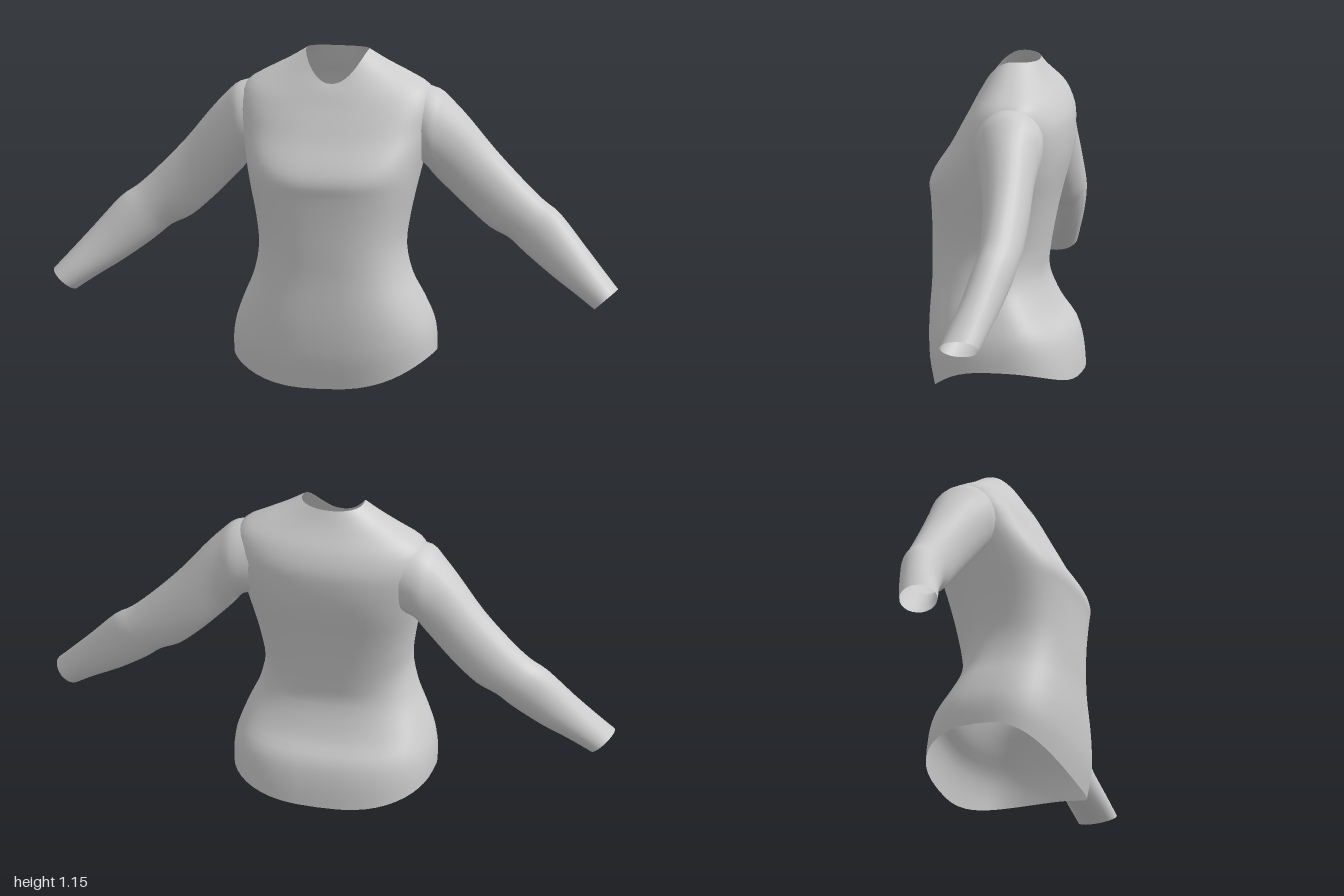
import * as THREE from 'three';

const material = new THREE.MeshStandardMaterial({ color: 0xcccccc, side: THREE.DoubleSide });

// Smoothly subdivide a list of section rows (Catmull-Rom on every column)
function refine(rows, steps) {
  const out = [];
  const at = (i) => rows[Math.max(0, Math.min(rows.length - 1, i))];
  for (let i = 0; i < rows.length - 1; i++) {
    for (let s = 0; s < steps; s++) {
      const t = s / steps;
      out.push(rows[i].map((b, k) => {
        const a = at(i - 1)[k], c = at(i + 1)[k], d = at(i + 2)[k];
        return b + 0.5 * t * (c - a + t * (2 * a - 5 * b + 4 * c - d + t * (3 * (b - c) + d - a)));
      }));
    }
  }
  out.push(rows[rows.length - 1]);
  return out;
}

// Open tube skinned over closed rings
function loft(name, sections, segments, pointAt) {
  const positions = [], index = [];
  sections.forEach((section, j) => {
    for (let i = 0; i < segments; i++) {
      positions.push(...pointAt(section, (i / segments) * Math.PI * 2));
      if (j === sections.length - 1) continue;
      const next = (i + 1) % segments;
      const a = j * segments + i, b = j * segments + next;
      const c = a + segments, d = b + segments;
      index.push(a, c, b, b, c, d);
    }
  });
  const geometry = new THREE.BufferGeometry();
  geometry.setAttribute('position', new THREE.Float32BufferAttribute(positions, 3));
  geometry.setIndex(index);
  geometry.computeVertexNormals();
  const mesh = new THREE.Mesh(geometry, material);
  mesh.name = name;
  return mesh;
}

// Torso rings, hem to neckline:
// side y, half width, side z, front y, front z, back y, back z, roundness
const torsoRings = [
  [0.10, 0.350, 0.00, 0.00, 0.240, 0.04, -0.260, 0.75],
  [0.16, 0.350, 0.00, 0.10, 0.258, 0.12, -0.252, 0.75],
  [0.22, 0.340, 0.00, 0.20, 0.262, 0.20, -0.230, 0.75],
  [0.30, 0.310, 0.01, 0.28, 0.260, 0.27, -0.178, 0.75],
  [0.38, 0.275, 0.03, 0.38, 0.255, 0.38, -0.137, 0.78],
  [0.48, 0.255, 0.04, 0.48, 0.255, 0.46, -0.140, 0.78],
  [0.58, 0.265, 0.03, 0.58, 0.255, 0.58, -0.160, 0.75],
  [0.68, 0.285, 0.02, 0.67, 0.258, 0.68, -0.182, 0.72],
  [0.75, 0.300, 0.00, 0.72, 0.262, 0.76, -0.203, 0.72],
  [0.82, 0.315, -0.02, 0.77, 0.243, 0.83, -0.218, 0.75],
  [0.90, 0.332, -0.04, 0.85, 0.190, 0.90, -0.224, 0.78],
  [0.97, 0.343, -0.05, 0.92, 0.152, 0.96, -0.220, 0.82],
  [1.03, 0.322, -0.06, 0.97, 0.125, 1.02, -0.195, 0.85],
  [1.075, 0.250, -0.06, 1.005, 0.108, 1.07, -0.160, 0.88],
  [1.115, 0.175, -0.05, 1.03, 0.095, 1.11, -0.135, 0.90],
  [1.155, 0.110, -0.04, 1.05, 0.082, 1.15, -0.115, 0.92],
];

function torsoPoint([ySide, width, zSide, yFront, zFront, yBack, zBack, round], angle) {
  const c = Math.cos(angle), s = Math.sin(angle);
  const y = s > 0 ? yFront : yBack, z = s > 0 ? zFront : zBack;
  return [
    Math.sign(c) * width * Math.abs(c) ** round,
    ySide + (y - ySide) * s * s,
    zSide + (z - zSide) * Math.abs(s) ** round,
  ];
}

// Sleeve rings, shoulder to cuff: top x, top y, bottom x, bottom y, centre z, half depth
const sleeveRings = [
  [0.27, 1.040, 0.27, 0.770, -0.065, 0.110],
  [0.35, 1.022, 0.31, 0.755, -0.060, 0.122],
  [0.40, 0.980, 0.34, 0.718, -0.065, 0.108],
  [0.46, 0.915, 0.38, 0.675, -0.073, 0.095],
  [0.55, 0.805, 0.45, 0.605, -0.085, 0.083],
  [0.65, 0.700, 0.53, 0.535, -0.088, 0.076],
  [0.72, 0.635, 0.60, 0.500, -0.085, 0.072],
  [0.78, 0.592, 0.66, 0.450, -0.075, 0.072],
  [0.87, 0.490, 0.76, 0.378, -0.050, 0.070],
  [0.95, 0.400, 0.85, 0.322, -0.022, 0.070],
  [1.00, 0.345, 0.92, 0.275, -0.003, 0.069],
];

function sleevePoint(side) {
  return ([topX, topY, bottomX, bottomY, z, depth], angle) => {
    const k = (1 + Math.cos(angle)) / 2;
    return [
      side * (bottomX + (topX - bottomX) * k),
      bottomY + (topY - bottomY) * k,
      z - side * depth * Math.sin(angle),
    ];
  };
}

export function createModel() {
  const shirt = new THREE.Group();
  shirt.name = 'longSleeveShirt';
  shirt.add(loft('torso', refine(torsoRings, 3), 48, torsoPoint));
  for (const side of [1, -1]) {
    shirt.add(loft(side > 0 ? 'leftSleeve' : 'rightSleeve', refine(sleeveRings, 3), 24, sleevePoint(side)));
  }
  return shirt;
}
